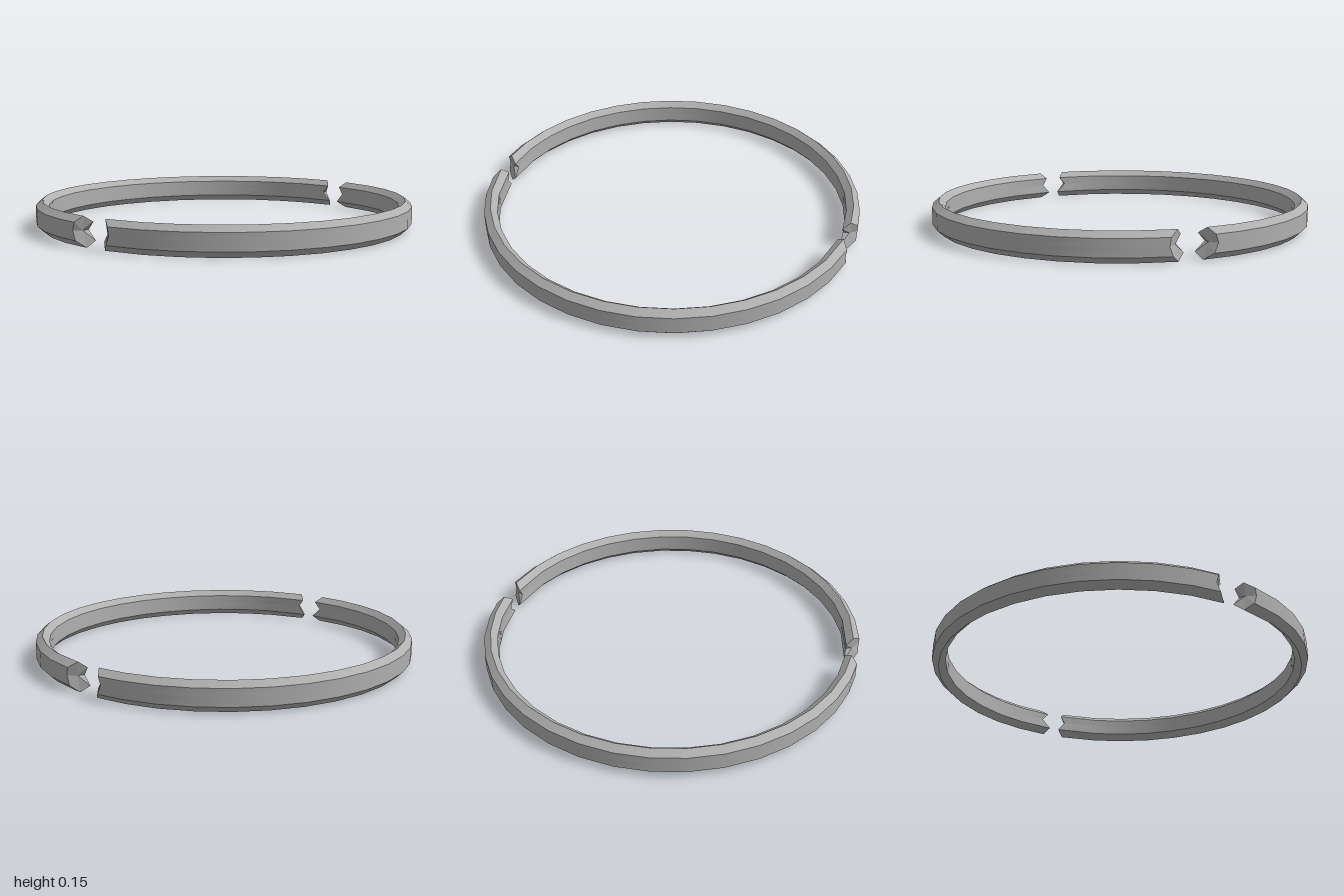
import * as THREE from 'three';

// Ring cross-section as [radius, height], from the outer bottom edge upward
const PROFILE = [
  [1, 0.033], [1, 0.08], [1, 0.121], [0.965, 0.15],
  [0.93, 0.121], [0.93, 0.08], [0.93, 0.033], [0.965, 0],
];
const CENTER = [0.963, 0.08];

// z of each profile point at the broken ends; the last value is the middle of the break
const FRONT_BREAK = [0.165, 0.182, 0.175, 0.13, 0.1, 0.125, 0.085, 0.125, 0.14];
const BACK_BREAK = [-0.035, -0.055, -0.042, -0.015, 0.015, -0.02, 0.03, 0.005, -0.022];

const rad = THREE.MathUtils.degToRad;
const onRing = ([r, y], a) => new THREE.Vector3(r * Math.cos(a), y, r * Math.sin(a));

function meshFrom(points, index, material, name) {
  const geometry = new THREE.BufferGeometry().setFromPoints(points);
  if (index) geometry.setIndex(index);
  geometry.computeVertexNormals();
  const mesh = new THREE.Mesh(geometry, material);
  mesh.name = name;
  return mesh;
}

// One half ring: smooth along its length, sharp between the bevels
function halfRing(name, fromDeg, toDeg, breakZ, toAngles, material) {
  const half = new THREE.Group();
  half.name = name;
  const loop = [...PROFILE, CENTER];
  const ends = [0, 1].map((e) => loop.map((p, j) => onRing(p, toAngles(Math.asin(breakZ[j] / p[0]))[e])));
  const sections = [ends[0]];
  for (let d = fromDeg; d <= toDeg; d += 10) sections.push(PROFILE.map((p) => onRing(p, rad(d))));
  sections.push(ends[1]);

  const n = PROFILE.length;
  const points = [], index = [];
  for (let j = 0; j < n; j++) {
    const base = points.length;
    sections.forEach((s, i) => {
      points.push(s[j], s[(j + 1) % n]);
      if (i === 0) return;
      const a = base + 2 * (i - 1);
      index.push(a, a + 1, a + 2, a + 1, a + 3, a + 2);
    });
  }
  half.add(meshFrom(points, index, material, name + 'Band'));

  // Faceted broken faces
  ends.forEach((s, e) => {
    const cap = [];
    for (let j = 0; j < n; j++) {
      const k = (j + 1) % n;
      cap.push(s[n], e ? s[j] : s[k], e ? s[k] : s[j]);
    }
    half.add(meshFrom(cap, null, material, name + (e ? 'EndBreak' : 'StartBreak')));
  });
  return half;
}

export function createModel() {
  const metal = new THREE.MeshStandardMaterial({ color: 0xb0b0b0 });
  metal.name = 'grey metal';
  const ring = new THREE.Group();
  ring.name = 'brokenRing';
  ring.add(
    halfRing('frontHalf', 20, 160, FRONT_BREAK, (a) => [a, Math.PI - a], metal),
    halfRing('backHalf', 190, 350, BACK_BREAK, (a) => [Math.PI - a, 2 * Math.PI + a], metal),
  );
  return ring;
}
